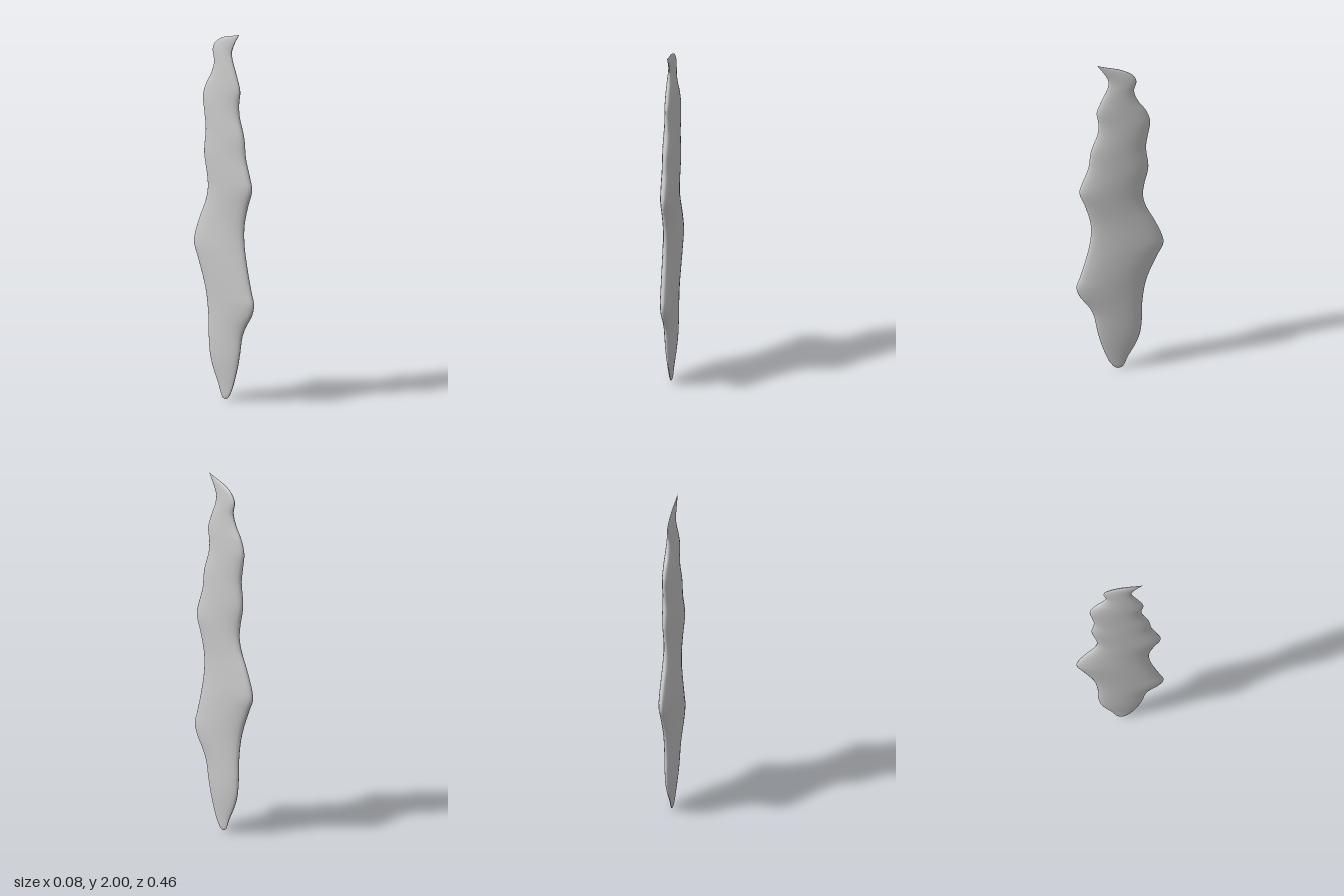
import * as THREE from 'three';

// Outline points as [y, z], and half thickness as [y, x]
const FRONT = [[0, .01], [.008, .027], [.05, .057], [.17, .1], [.255, .12], [.36, .14], [.415, .165], [.49, .215], [.55, .23],
  [.61, .212], [.73, .18], [.865, .155], [.96, .155], [1.065, .18], [1.17, .214], [1.23, .2], [1.33, .167], [1.44, .153],
  [1.555, .117], [1.62, .114], [1.69, .123], [1.765, .098], [1.845, .066], [1.89, .06], [1.93, .075], [2, .12]];
const BACK = [[0, .01], [.008, -.012], [.08, -.045], [.16, -.085], [.23, -.107], [.335, -.117], [.41, -.117], [.545, -.133],
  [.625, -.155], [.73, -.197], [.81, -.23], [.865, -.222], [.96, -.185], [1.06, -.138], [1.13, -.122], [1.2, -.128],
  [1.315, -.15], [1.45, -.138], [1.54, -.15], [1.62, -.16], [1.69, -.138], [1.755, -.097], [1.82, -.075], [1.89, -.087],
  [1.93, -.065], [1.965, -.005], [1.985, .07], [2, .12]];
const THICK = [[0, 0], [.008, .004], [.08, .012], [.22, .025], [.4, .032], [.6, .039], [.8, .041], [1, .036], [1.2, .04],
  [1.4, .039], [1.6, .034], [1.75, .027], [1.9, .015], [1.96, .008], [2, 0]];

// Returns a smooth function of height through the given points
function profile(points) {
  const curve = new THREE.CatmullRomCurve3(points.map(([y, v]) => new THREE.Vector3(v, y, 0)));
  const dense = curve.getPoints(800);
  return (y) => {
    let i = 1;
    while (i < dense.length - 1 && dense[i].y < y) i++;
    const a = dense[i - 1], b = dense[i];
    const t = THREE.MathUtils.clamp((y - a.y) / Math.max(b.y - a.y, 1e-9), 0, 1);
    return a.x + (b.x - a.x) * t;
  };
}

// Skins elliptical cross-sections stacked from the lower end to the tip
function bladeGeometry(rows = 140, sides = 32) {
  const front = profile(FRONT), back = profile(BACK), thick = profile(THICK);
  const positions = [], index = [];
  for (let r = 0; r <= rows; r++) {
    const t = r / rows;
    // rows gather towards both ends
    const y = 2 * (0.5 * t + 0.25 * (1 - Math.cos(Math.PI * t)));
    const zf = front(y), zb = back(y), h = Math.max(thick(y), 0);
    for (let s = 0; s < sides; s++) {
      const a = (s / sides) * Math.PI * 2;
      positions.push(h * Math.sin(a), y, (zf + zb) / 2 + ((zf - zb) / 2) * Math.cos(a));
    }
  }
  for (let r = 0; r < rows; r++) {
    for (let s = 0; s < sides; s++) {
      const a = r * sides + s, b = r * sides + ((s + 1) % sides);
      const c = a + sides, d = b + sides;
      if (r > 0) index.push(a, b, d);
      if (r < rows - 1) index.push(a, d, c);
      if (r === 0) index.push(a, d, c);
    }
  }
  // last ring closes onto the tip
  const last = (rows - 1) * sides;
  for (let s = 0; s < sides; s++) index.push(last + s, last + sides + ((s + 1) % sides), last + sides + s);
  const geometry = new THREE.BufferGeometry();
  geometry.setAttribute('position', new THREE.Float32BufferAttribute(positions, 3));
  geometry.setIndex(index);
  geometry.computeVertexNormals();
  return geometry;
}

export function createModel() {
  const group = new THREE.Group();
  const blade = new THREE.Mesh(bladeGeometry(), new THREE.MeshStandardMaterial({ color: 0xcccccc }));
  blade.name = 'wavyBlade';
  group.add(blade);
  return group;
}
